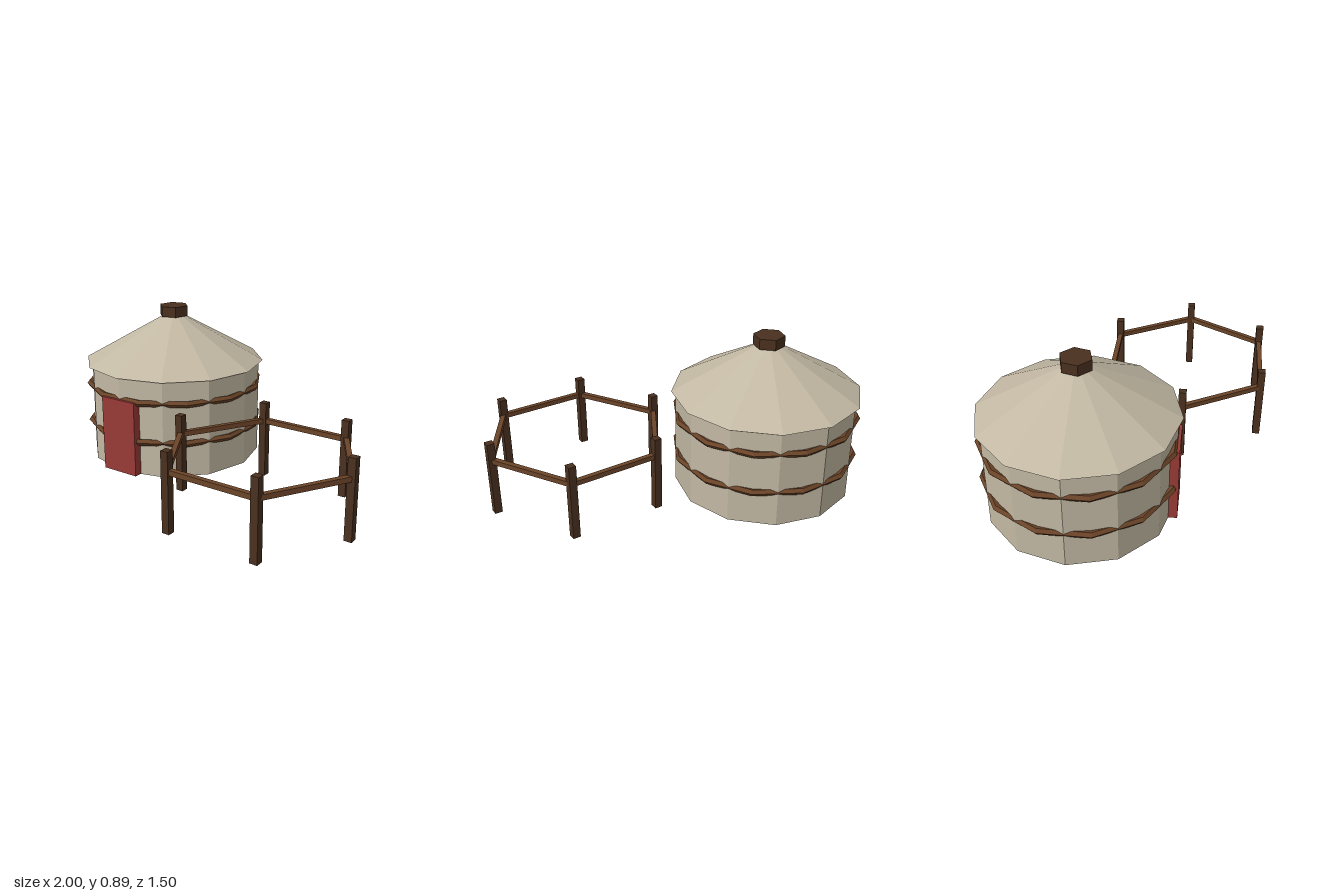
import * as THREE from 'three';

const mat = (name, color) => {
  const m = new THREE.MeshStandardMaterial({ color, flatShading: true });
  m.name = name;
  return m;
};

export function createModel() {
  const felt = mat('felt', 0xc2b8a3);
  const wood = mat('wood', 0x6b4428);
  const darkWood = mat('dark wood', 0x4a301f);
  const red = mat('red door', 0x983b36);

  const model = new THREE.Group();
  model.name = 'tentAndPen';
  const add = (parent, name, geometry, material, x, y, z) => {
    const mesh = new THREE.Mesh(geometry, material);
    mesh.name = name;
    mesh.position.set(x, y, z);
    parent.add(mesh);
    return mesh;
  };

  // Round tent: twelve-sided wall, conical roof and crown
  const tent = new THREE.Group();
  tent.name = 'tent';
  tent.position.set(-0.468, 0, -0.215);
  model.add(tent);
  add(tent, 'wall', new THREE.CylinderGeometry(0.507, 0.507, 0.565, 12), felt, 0, 0.2825, 0);
  add(tent, 'roof', new THREE.ConeGeometry(0.532, 0.3, 12), felt, 0, 0.715, 0);
  const crown = add(tent, 'crown', new THREE.CylinderGeometry(0.087, 0.087, 0.06, 6), darkWood, 0, 0.86, 0);
  crown.rotation.y = -Math.PI / 12;

  // Bands round the wall, their corners at the middle of each wall panel
  for (const y of [0.203, 0.434]) {
    const ring = new THREE.TorusGeometry(0.508, 0.02, 5, 12);
    ring.rotateX(Math.PI / 2).rotateY(Math.PI / 12);
    add(tent, 'band', ring, wood, 0, y, 0);
  }

  // Door
  add(tent, 'door', new THREE.BoxGeometry(0.233, 0.436, 0.06), red, 0, 0.219, 0.493);

  // Hexagonal pen: posts at the corners, one rail along each side
  const pen = new THREE.Group();
  pen.name = 'pen';
  pen.position.set(0.471, 0, 0.291);
  model.add(pen);
  const R = 0.506;
  for (let i = 0; i < 6; i++) {
    const a = (i * Math.PI) / 3;
    add(pen, 'post', new THREE.BoxGeometry(0.042, 0.432, 0.042), darkWood,
      R * Math.cos(a), 0.216, R * Math.sin(a));
    const mid = a + Math.PI / 6;
    const d = R * Math.cos(Math.PI / 6);
    const rail = add(pen, 'rail', new THREE.BoxGeometry(R, 0.028, 0.028), wood,
      d * Math.cos(mid), 0.325, d * Math.sin(mid));
    rail.rotation.y = Math.PI / 2 - mid;
  }

  return model;
}
